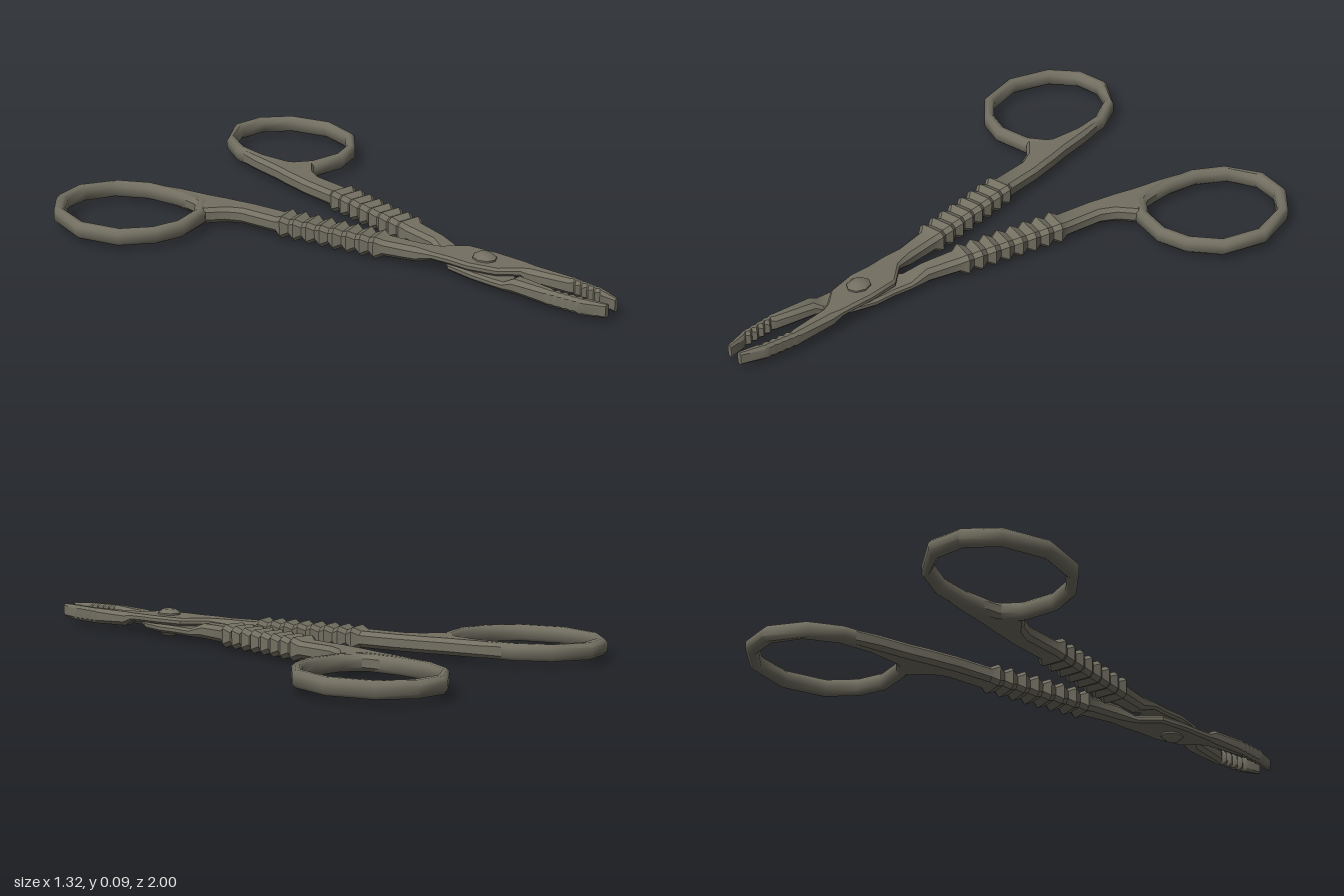
import * as THREE from 'three';
import { toCreasedNormals } from 'three/addons/utils/BufferGeometryUtils.js';

const H = 0.028; // half thickness of the metal

// Loft chamfered sections; each station is [leftX, leftZ, rightX, rightZ, bottomY, topY]
function loft(stations, closed, crease) {
  const pos = [], idx = [], n = stations.length;
  for (const [lx, lz, rx, rz, y0 = -H, y1 = H] of stations) {
    const w = Math.hypot(rx - lx, rz - lz) / 2, h = (y1 - y0) / 2;
    const c = Math.min(0.014, w * 0.6, h * 0.6);
    const section = [[w, c - h], [w, h - c], [w - c, h], [c - w, h],
      [-w, h - c], [-w, c - h], [c - w, -h], [w - c, -h]];
    for (const [u, v] of section) {
      const t = 0.5 + u / (2 * w);
      pos.push(lx + (rx - lx) * t, (y0 + y1) / 2 + v, lz + (rz - lz) * t);
    }
  }
  for (let i = 0; i < (closed ? n : n - 1); i++) {
    for (let j = 0; j < 8; j++) {
      const a = i * 8 + j, b = i * 8 + (j + 1) % 8;
      const k = ((i + 1) % n) * 8, c = k + j, d = k + (j + 1) % 8;
      idx.push(a, b, c, b, d, c);
    }
  }
  if (!closed) {
    const e = (n - 1) * 8;
    for (let j = 1; j < 7; j++) idx.push(0, j + 1, j, e, e + j, e + j + 1);
  }
  const g = new THREE.BufferGeometry();
  g.setAttribute('position', new THREE.Float32BufferAttribute(pos, 3));
  g.setIndex(idx);
  return toCreasedNormals(g, crease);
}

const mix = (a, b, t) => a.map((v, i) => v + (b[i] - v) * t);

// Finger ring: inner edge, outer edge
const ringStations = [
  [0.389, -1.455, 0.389, -1.503], [0.489, -1.444, 0.505, -1.487],
  [0.569, -1.376, 0.60, -1.397], [0.606, -1.238, 0.648, -1.238],
  [0.569, -1.10, 0.606, -1.085], [0.495, -1.032, 0.505, -0.995],
  [0.405, -1.005, 0.405, -0.963], [0.294, -1.026, 0.283, -0.984],
  [0.235, -1.074, 0.20, -1.037], [0.23, -1.196, 0.188, -1.196],
  [0.246, -1.307, 0.204, -1.312], [0.304, -1.413, 0.262, -1.418],
];

// Shank from the ring down to the grip
function armStations() {
  const s = [
    [0.209, -1.312, 0.235, -1.307, -0.024, 0.024], [0.177, -1.19, 0.225, -1.185],
    [0.156, -1.069, 0.24, -1.074], [0.14, -1.005, 0.283, -1.0],
    [0.13, -0.952, 0.225, -0.947], [0.119, -0.90, 0.198, -0.894],
  ];
  // ribbed grip: alternate valleys and ridges
  const g0 = [0.103, -0.767, 0.183, -0.751], g1 = [0.034, -0.36, 0.108, -0.344];
  const ribs = 8, out = 0.013;
  for (let i = 0; i <= ribs * 2; i++) {
    const [lx, lz, rx, rz] = mix(g0, g1, i / (ribs * 2));
    if (i % 2) s.push([lx - out, lz - 0.002, rx + out, rz + 0.002, -0.04, 0.04]);
    else s.push([lx, lz, rx, rz]);
  }
  // half-lapped joint
  s.push(
    [0.018, -0.238, 0.082, -0.228, -H, 0.024],
    [0.003, -0.175, 0.077, -0.164, -H, 0], [-0.06, -0.106, 0.07, -0.095, -H, 0],
    [-0.071, 0, 0.07, -0.02, -H, 0], [-0.071, 0.08, 0.045, 0.08, -H, 0],
    [-0.071, 0.122, -0.005, 0.137, -H, 0.002], [-0.071, 0.16, -0.013, 0.165, -H, 0.022],
  );
  // toothed jaw
  const j0 = [-0.071, 0.291, -0.034, 0.307], j1 = [-0.056, 0.423, -0.022, 0.439];
  for (let i = 0; i <= 10; i++) {
    const [lx, lz, rx, rz] = mix(j0, j1, i / 10);
    s.push([lx, lz, rx - (i % 2 ? 0.011 : 0), rz, -H, 0.026]);
  }
  s.push([-0.03, 0.497, -0.012, 0.497, -0.024, 0.022]);
  return s;
}

export function createModel() {
  const model = new THREE.Group();
  model.name = 'lockingForceps';
  const steel = new THREE.MeshStandardMaterial({ color: 0x737062 });
  steel.name = 'dull steel';

  const add = (parent, name, geometry) => {
    const m = new THREE.Mesh(geometry, steel);
    m.name = name;
    parent.add(m);
    return m;
  };

  // Everything is built around the pivot
  const tool = new THREE.Group();
  tool.name = 'tool';
  tool.position.set(0.01, 0.0475, 0.503);
  model.add(tool);

  const ring = loft(ringStations, true, 0.95);
  const arm = loft(armStations(), false, 0.6);
  for (const side of ['left', 'right']) {
    const half = new THREE.Group();
    half.name = side + 'Half';
    add(half, side + 'FingerRing', ring);
    add(half, side + 'ArmAndJaw', arm);
    // the second half is the first turned over, opened slightly wider
    if (side === 'right') half.rotation.set(0, 0.02, Math.PI);
    tool.add(half);
  }

  // Pivot rivet with chamfered heads
  const profile = [[0, -0.0475], [0.024, -0.0475], [0.043, -0.034],
    [0.043, 0.034], [0.024, 0.0475], [0, 0.0475]].map(p => new THREE.Vector2(...p));
  const rivet = add(tool, 'pivotRivet', toCreasedNormals(new THREE.LatheGeometry(profile, 8), 0.8));
  rivet.scale.x = 0.85;

  return model;
}
